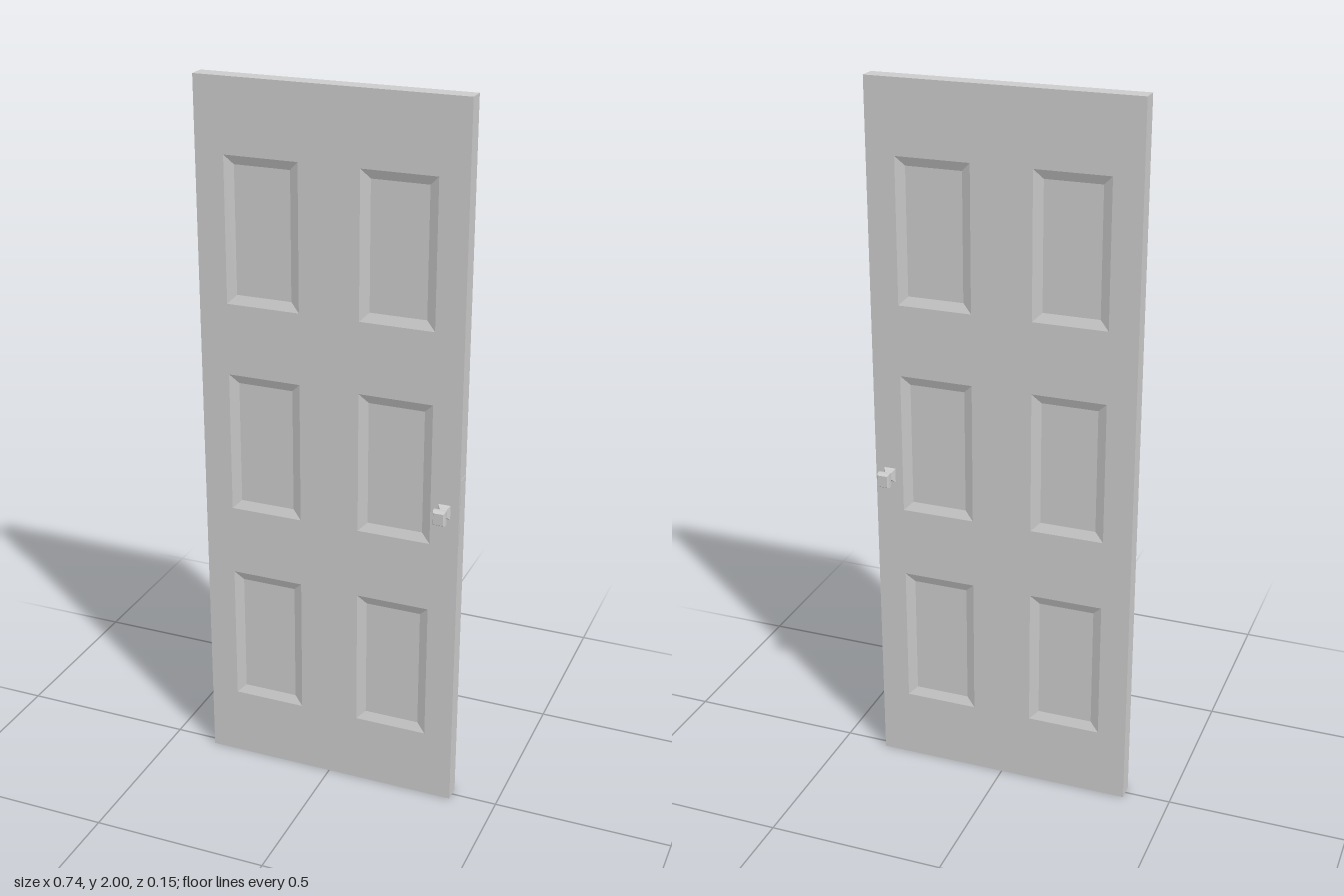
import * as THREE from 'three';

const material = new THREE.MeshStandardMaterial({ color: 0xcccccc });
const W = 0.37, H = 2, T = 0.024; // half width, height, half thickness

// Rectangular loft along z: rings of [z, halfWidth, halfHeight].
// Each side has its own vertices, so corners stay sharp and profiles smooth.
function loft(rings, cap = true) {
  const pos = [], idx = [];
  const corners = [[-1, -1], [1, -1], [1, 1], [-1, 1]];
  const put = ([z, w, h], k) => pos.push(corners[k % 4][0] * w, corners[k % 4][1] * h, z);
  for (let k = 0; k < 4; k++) {
    const base = pos.length / 3;
    rings.forEach((r, i) => {
      put(r, k);
      put(r, k + 1);
      if (i > 0) {
        const a = base + 2 * i - 2;
        idx.push(a, a + 1, a + 3, a, a + 3, a + 2);
      }
    });
  }
  if (cap) {
    const a = pos.length / 3;
    for (let k = 0; k < 4; k++) put(rings[rings.length - 1], k);
    idx.push(a, a + 1, a + 2, a, a + 2, a + 3);
  }
  const g = new THREE.BufferGeometry();
  g.setAttribute('position', new THREE.Float32BufferAttribute(pos, 3));
  g.setIndex(idx);
  g.computeVertexNormals();
  return g;
}

function rectangle(target, x, y, w, h) {
  target.moveTo(x - w, y - h);
  target.lineTo(x + w, y - h);
  target.lineTo(x + w, y + h);
  target.lineTo(x - w, y + h);
  target.closePath();
  return target;
}

function mesh(name, geometry, x = 0, y = 0, z = 0) {
  const m = new THREE.Mesh(geometry, material);
  m.name = name;
  m.position.set(x, y, z);
  return m;
}

export function createModel() {
  const door = new THREE.Group();
  door.name = 'door';

  // Six panels in two columns and three rows
  const panels = [];
  for (const x of [-0.187, 0.187]) for (const y of [0.4, 1, 1.6]) panels.push([x, y]);
  const pw = 0.103, ph = 0.2, bevel = 0.025, depth = 0.01;

  // Door face with panel openings, and the sunken panels that fill them
  const face = rectangle(new THREE.Shape(), 0, H / 2, W, H / 2);
  for (const [x, y] of panels) face.holes.push(rectangle(new THREE.Path(), x, y, pw, ph));
  const faceGeometry = new THREE.ShapeGeometry(face);
  const panelGeometry = loft([[T, pw, ph], [T - depth, pw - bevel, ph - bevel]]);

  // Knob: a curved square profile flaring from the door, through a neck, to a soft-edged head
  const profile = new THREE.CatmullRomCurve3([
    [0.0235, 0.017], [0.029, 0.014], [0.035, 0.0095], [0.042, 0.008], [0.047, 0.0095],
    [0.051, 0.015], [0.055, 0.017], [0.066, 0.017], [0.072, 0.0155], [0.075, 0.0135],
  ].map(([z, w]) => new THREE.Vector3(z, w, 0)));
  const knobGeometry = loft(profile.getPoints(36).map(p => [p.x, p.y, p.y * 1.2]));

  // Both sides of the door; the back is turned round, with its knob at the same edge
  for (const [side, sign] of [['front', 1], ['back', -1]]) {
    const group = new THREE.Group();
    group.name = side + 'Side';
    group.add(mesh(side + 'Face', faceGeometry, 0, 0, T));
    panels.forEach(([x, y], i) => group.add(mesh(`${side}Panel${i + 1}`, panelGeometry, x, y)));
    group.add(mesh(side + 'Knob', knobGeometry, sign * 0.329, 0.903));
    if (sign < 0) group.rotation.y = Math.PI;
    door.add(group);
  }

  // Edges all round the door
  door.add(mesh('doorEdges', loft([[-T, W, H / 2], [T, W, H / 2]], false), 0, H / 2));

  // Latch plate on the opening edge
  door.add(mesh('latchPlate', new THREE.BoxGeometry(0.004, 0.19, 0.04), W - 0.001, 0.903));

  return door;
}
